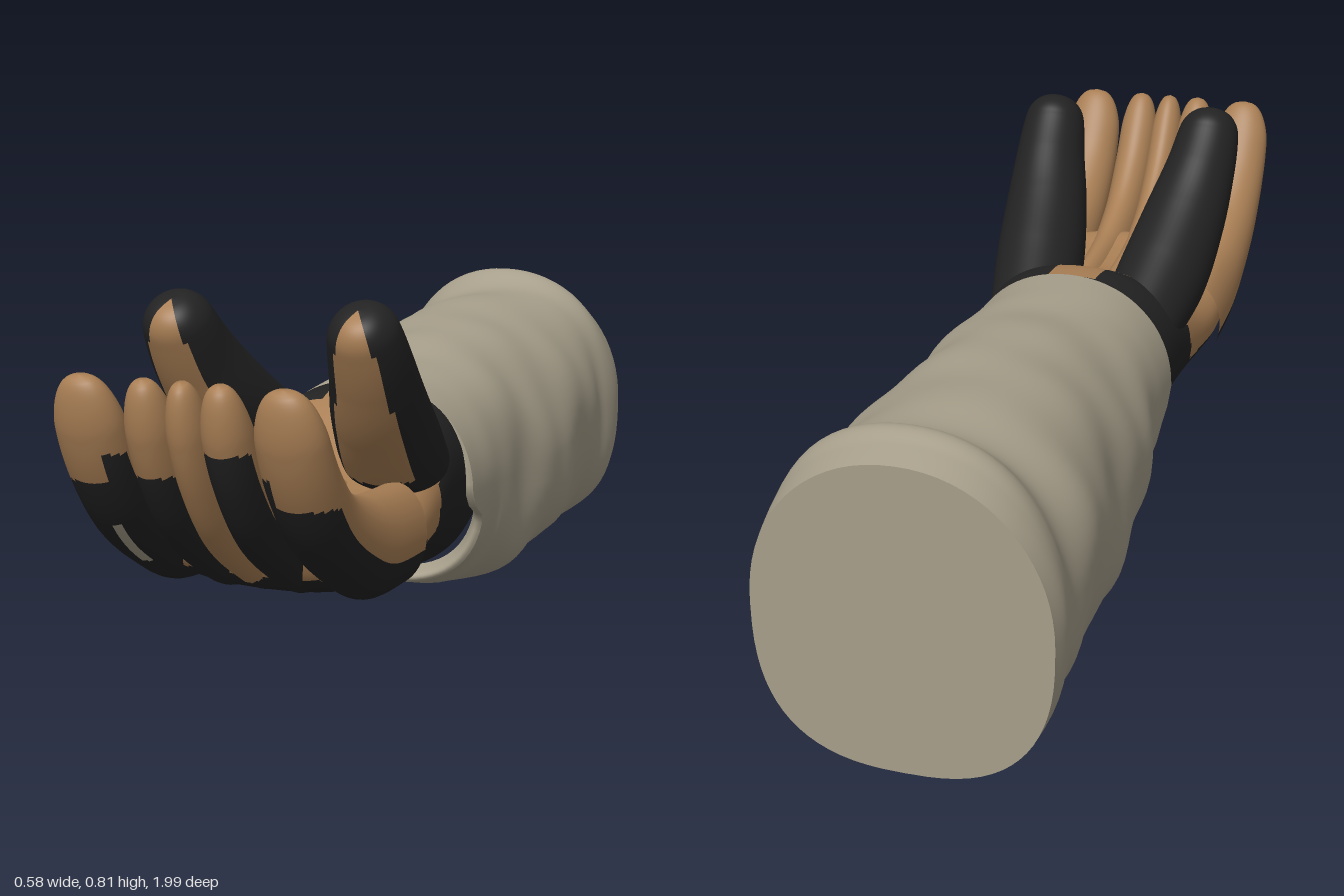
import * as THREE from 'three';

const mat = (name, color) => Object.assign(new THREE.MeshStandardMaterial({ color }), { name });
const CX = 0.015; // middle of the hand in x
const BLACK = 0, TAN = 1, CLOTH = 2;
const { clamp, smoothstep, lerp } = THREE.MathUtils;

// smooth interpolation through rows of numbers, t in 0..1
function sample(rows, t) {
  const f = t * (rows.length - 1), i = Math.min(Math.floor(f), rows.length - 2), s = f - i;
  const at = k => rows[clamp(k, 0, rows.length - 1)];
  const [a, b, c, d] = [at(i - 1), at(i), at(i + 1), at(i + 2)];
  return b.map((q, k) => 0.5 * (2 * q + (c[k] - a[k]) * s + (2 * a[k] - 5 * q + 4 * c[k] - d[k]) * s * s
    + (3 * q - a[k] - 3 * c[k] + d[k]) * s * s * s));
}

// closed tube surface from point(angle, t); colour(p, angle, t) picks the material per quad
function surface(name, nu, nv, point, colour, materials) {
  const pos = [], pts = [], buckets = materials.map(() => []);
  for (let j = 0; j <= nv; j++) for (let i = 0; i < nu; i++) {
    const p = point(i / nu * Math.PI * 2, j / nv);
    pts.push(p);
    pos.push(p.x, p.y, p.z);
  }
  for (let j = 0; j < nv; j++) for (let i = 0; i < nu; i++) {
    const a = j * nu + i, b = j * nu + (i + 1) % nu, c = b + nu, d = a + nu;
    const mid = pts[a].clone().add(pts[c]).multiplyScalar(0.5);
    buckets[colour(mid, (i + 0.5) / nu * Math.PI * 2, (j + 0.5) / nv)].push(a, b, c, a, c, d);
  }
  const g = new THREE.BufferGeometry();
  g.setAttribute('position', new THREE.Float32BufferAttribute(pos, 3));
  g.setIndex(buckets.flat());
  let start = 0;
  buckets.forEach((b, k) => { if (b.length) g.addGroup(start, b.length, k); start += b.length; });
  g.computeVertexNormals();
  const mesh = new THREE.Mesh(g, materials);
  mesh.name = name;
  return mesh;
}

// point on a superellipse between bottom and top heights
function section(a, x0, hw, yb, yt, eTop, eBot) {
  const c = Math.cos(a), s = Math.sin(a), e = 2 / (s > 0 ? eTop : eBot);
  return [x0 + hw * Math.sign(c) * Math.abs(c) ** e,
    (yb + yt) / 2 + (yt - yb) / 2 * Math.sign(s) * Math.abs(s) ** e];
}

// round-ended digit along rows of [x, y, z, side radius, thickness radius]
function digit(name, rows, colour, materials) {
  const START = 0.84;
  const point = (a, t) => {
    const r = sample(rows, t), e = 0.004;
    const p = new THREE.Vector3(...r);
    const T = new THREE.Vector3(...sample(rows, Math.min(t + e, 1)))
      .sub(new THREE.Vector3(...sample(rows, Math.max(t - e, 0)))).normalize();
    const X = new THREE.Vector3(1, 0, 0).addScaledVector(T, -T.x).normalize();
    const N = T.clone().cross(X);
    const k = t > START ? Math.sqrt(Math.max(0, 1 - ((t - START) / (1 - START)) ** 2)) : 1;
    return p.addScaledVector(X, Math.cos(a) * r[3] * k).addScaledVector(N, Math.sin(a) * r[4] * k);
  };
  return surface(name, 48, 90, point, colour, materials);
}

// sleeve stations: z, left edge, right edge, bottom, top
const SLEEVE = [
  [-1, -0.288, 0.28, 0.012, 0.628], [-0.95, -0.29, 0.288, 0.01, 0.645], [-0.9, -0.28, 0.288, 0.012, 0.66],
  [-0.83, -0.272, 0.28, 0.014, 0.625], [-0.7, -0.28, 0.278, 0.014, 0.622], [-0.5, -0.262, 0.28, 0.016, 0.61],
  [-0.35, -0.252, 0.275, 0.024, 0.597], [-0.22, -0.238, 0.265, 0.04, 0.587], [-0.1, -0.222, 0.257, 0.075, 0.576],
  [0, -0.22, 0.25, 0.1, 0.572], [0.09, -0.218, 0.248, 0.104, 0.57]];

function sleevePoint(a, t) {
  const [z, xl, xr, yb, yt] = sample(SLEEVE, t);
  // soft cloth folds that fade toward both ends
  const fade = 0.007 * smoothstep(z, -1.05, -0.8) * (1 - smoothstep(z, -0.15, 0.05));
  const fold = fade * (Math.sin(3 * a + 9 * z) + 0.7 * Math.sin(5 * a - 17 * z + 1) + 0.4 * Math.sin(2 * a + 31 * z));
  const [x, y] = section(a, (xl + xr) / 2, (xr - xl) / 2 + fold, yb - fold * 0.5, yt + fold * 0.5, 2.1, 2.6);
  // the lower half of the cuff ends further back
  const back = 0.08 * (1 - smoothstep(y, 0.26, 0.33)) * clamp((z + 0.1) / 0.19, 0, 1);
  return new THREE.Vector3(x, y, z - back);
}

// hand stations: z, bottom, top, half width
const HAND = [
  [-0.06, 0.15, 0.55, 0.2], [0.03, 0.148, 0.558, 0.215], [0.1, 0.158, 0.562, 0.219], [0.2, 0.19, 0.55, 0.224],
  [0.3, 0.215, 0.495, 0.23], [0.4, 0.225, 0.45, 0.235], [0.5, 0.232, 0.435, 0.24], [0.6, 0.255, 0.445, 0.238],
  [0.68, 0.295, 0.46, 0.225], [0.72, 0.36, 0.44, 0.17]];

// finger path: y, z, thickness radius, width factor
const FINGER = [
  [0.345, 0.45, 0.1, 1], [0.36, 0.6, 0.1, 1], [0.4, 0.71, 0.086, 1], [0.46, 0.81, 0.075, 1],
  [0.545, 0.888, 0.062, 1], [0.63, 0.938, 0.05, 0.97], [0.727, 0.974, 0.036, 0.85]];

const THUMB = [
  [0.12, 0.41, 0.18, 0.09, 0.09], [0.145, 0.49, 0.34, 0.1, 0.11], [0.165, 0.59, 0.46, 0.093, 0.1],
  [0.18, 0.68, 0.54, 0.08, 0.086], [0.186, 0.75, 0.592, 0.07, 0.072], [0.186, 0.806, 0.625, 0.055, 0.06]];

export function createModel() {
  const group = new THREE.Group();
  group.name = 'glovedHand';
  const black = mat('black glove fabric', 0x222222);
  const tan = mat('tan leather', 0xa87e54);
  const cloth = mat('sleeve cloth', 0xa69e8a);
  const mats = [black, tan, cloth];
  const allCloth = () => CLOTH;

  // sleeve, its flat back end and the rim folded in at the cuff
  group.add(surface('sleeve', 72, 90, sleevePoint, allCloth, mats));
  const capCentre = new THREE.Vector3(0, 0.32, -1);
  group.add(surface('sleeveBackEnd', 72, 2, (a, t) => capCentre.clone().lerp(sleevePoint(a, 0), t), allCloth, mats));
  group.add(surface('cuffRim', 72, 8, (a, t) => {
    const p = sleevePoint(a, 1), inset = 1 - 0.13 * t * (p.y < 0.45 ? 1 : 0.4);
    p.x = CX + (p.x - CX) * inset;
    p.y = 0.34 + (p.y - 0.34) * inset;
    p.z += 0.012 * Math.sin(Math.PI * t) - 0.03 * t * t;
    return p;
  }, allCloth, mats));

  // palm and wrist, with a tan palm between the thumbs
  group.add(surface('palm', 96, 90, (a, t) => {
    const [z, yb, yt, hw] = sample(HAND, t);
    const [x, y] = section(a, CX, hw, yb, yt, 2.3, 2.3);
    return new THREE.Vector3(x, y, z);
  }, (p, a) => {
    const dx = Math.abs(p.x - CX);
    if (Math.sin(a) > 0.5 && dx < 0.15 && p.z > 0.11) {
      const half = p.z < 0.21 ? 0.05 : p.z < 0.27 ? 0.115 : 0.16;
      if (dx < half) return TAN;
    }
    return p.y > 0.31 && p.z > 0.3 - 0.24 * (p.y - 0.3) ? TAN : BLACK;
  }, mats));

  // fingers: x offset, width radius, height where the black back ends
  const fingers = [
    ['outerFingerRight', -0.19, 0.068, 0.53], ['innerFingerRight', -0.072, 0.046, 0.55],
    ['middleFinger', 0, 0.038, 0.3], ['innerFingerLeft', 0.072, 0.046, 0.605],
    ['outerFingerLeft', 0.19, 0.068, 0.51]];
  for (const [name, dx, rx, limit] of fingers) {
    const rows = FINGER.map(([y, z, r, w]) => [CX + dx, y, z, rx * w, r]);
    group.add(digit(name, rows, (p, a) => {
      const under = -Math.sin(a) > 0.2;
      // worn grey patch on the back of one outer finger
      if (under && Math.abs(p.x + 0.158) < 0.012 && p.y > 0.34 && p.y < 0.44) return CLOTH;
      // the black rises toward the inner edge of the outer fingers
      const rise = Math.abs(dx) > 0.1 && Math.abs(p.x - CX) < 0.16 ? 0.055 : 0;
      return under && p.y < limit + rise ? BLACK : TAN;
    }, mats));
  }

  // one thumb on each side, with a tan grip strip on the underside
  for (const s of [-1, 1]) {
    const rows = THUMB.map(([x, ...rest]) => [CX + s * x, ...rest]);
    group.add(digit(s < 0 ? 'thumbRight' : 'thumbLeft', rows,
      (p, a, t) => (-Math.sin(a) > lerp(0.6, 0.88, t) && p.y > 0.44 ? TAN : BLACK), mats));
  }
  return group;
}
